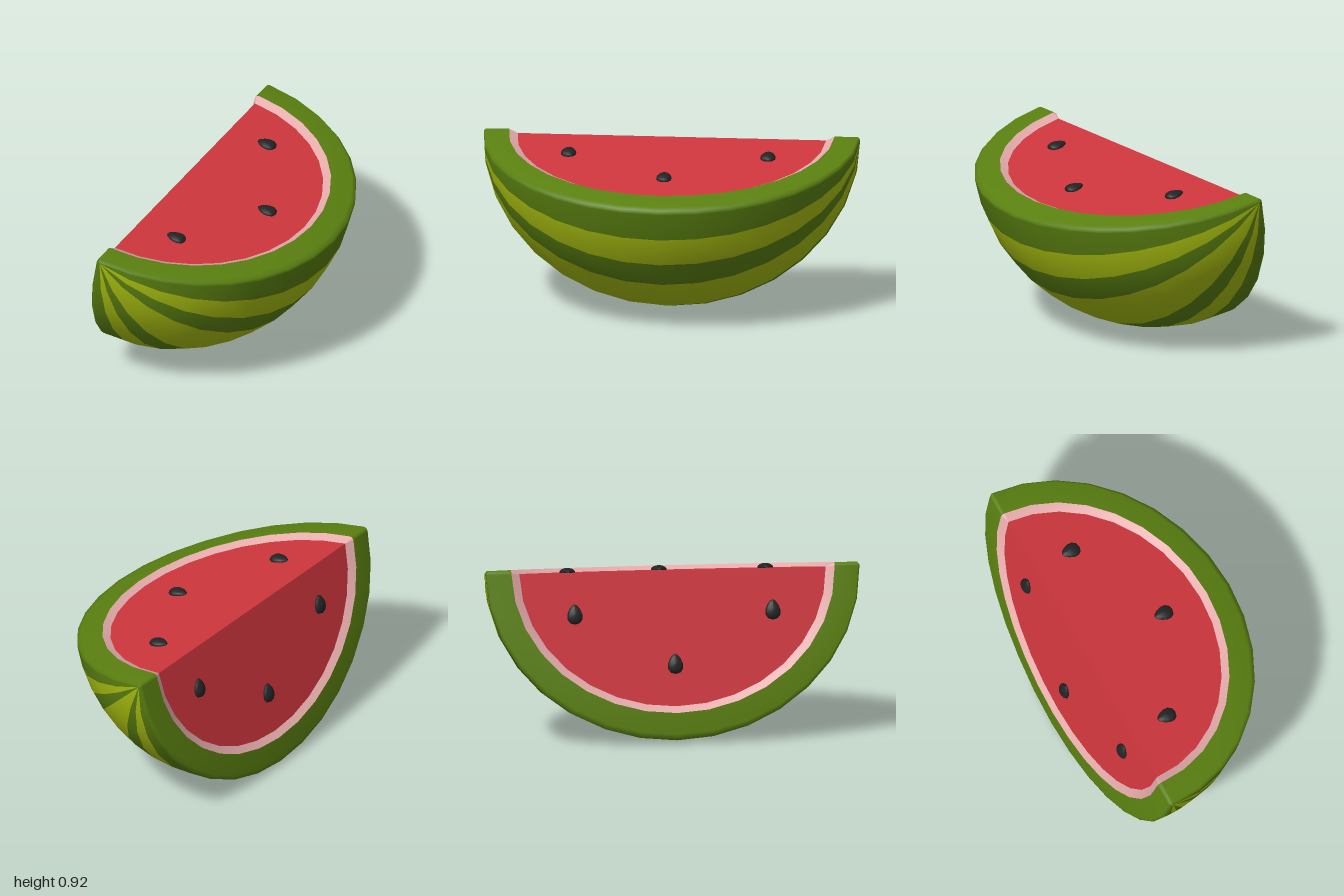
import * as THREE from 'three';

const CX = -0.345, CY = 0.902;            // long axis of the fruit (runs along z)
const R = 0.9, L = 1.0;                   // fruit radius and half length
const rad = THREE.MathUtils.degToRad;
const A0 = rad(-12.2), A1 = rad(80.2);    // wedge limits, measured from straight down
const TRIM = rad(1.3);                    // skin stops short where the rim rounds over
const STEPS = 16;

const mat = (name, color) => {
  const m = new THREE.MeshStandardMaterial({ color });
  m.name = name;
  return m;
};

// Indexed grid; fn(i, j) returns [x, y, z]; groupOf(i) picks a material per column
function grid(nu, nv, fn, groupOf) {
  const pos = [], idx = [];
  const g = new THREE.BufferGeometry();
  for (let i = 0; i <= nu; i++) for (let j = 0; j <= nv; j++) pos.push(...fn(i, j));
  for (let i = 0; i < nu; i++) {
    const start = idx.length;
    for (let j = 0; j < nv; j++) {
      const a = i * (nv + 1) + j, b = a + nv + 1;
      idx.push(a, b, b + 1, a, b + 1, a + 1);
    }
    if (groupOf) g.addGroup(start, idx.length - start, groupOf(i));
  }
  g.setAttribute('position', new THREE.Float32BufferAttribute(pos, 3));
  g.setIndex(idx);
  g.computeVertexNormals();
  return g;
}

// Cut faces: side 1 is the upper one, side -1 the other
const SIDES = [
  { side: 1, theta: A1 },
  { side: -1, theta: A0 + Math.PI },
];

// Point beside a cut face: c, s locate it on the half ellipse (a, b), h is its height
function cutPoint({ side, theta, c, s }, a, b, h) {
  const nx = Math.cos(theta), ny = Math.sin(theta);
  return [CX + side * ny * a * c + nx * h, CY - side * nx * a * c + ny * h, b * s];
}

// Columns along one cut face, running counterclockwise seen from outside
function faceColumns({ side, theta }) {
  return Array.from({ length: STEPS + 1 }, (_, i) => {
    const t = side * (Math.PI / 2 - (Math.PI * i) / STEPS);
    return { side, theta, c: Math.max(0, Math.cos(t)), s: Math.sin(t) };
  });
}

// Closed loop around both cut faces, with a rounded joint at each tip
function loopColumns() {
  const out = [];
  SIDES.forEach((f, k) => {
    out.push(...faceColumns(f));
    const next = SIDES[1 - k].theta;
    for (let i = 1; i < 5; i++) {
      out.push({ side: 1, theta: f.theta + ((next - f.theta) * i) / 5, c: 0, s: k ? 1 : -1 });
    }
  });
  out.push(out[0]);
  return out;
}

export function createModel() {
  const rindGreen = mat('rindGreen', 0x5a8010);
  const stripeLime = mat('stripeLime', 0xa9bf10);
  const pithPink = mat('pithPink', 0xe6abab);
  const fleshRed = mat('fleshRed', 0xcf363d);
  const seedBlack = mat('seedBlack', 0x222324);

  const model = new THREE.Group();
  model.name = 'melonWedge';
  const add = (name, geo, material, parent = model) => {
    const m = new THREE.Mesh(geo, material);
    m.name = name;
    parent.add(m);
    return m;
  };

  // Striped outer skin
  const stripes = [0, 1, 0, 1, 1, 0, 1, 0];
  const skin = grid(8, STEPS, (i, j) => {
    const a = THREE.MathUtils.clamp(A0 + ((A1 - A0) * i) / 8, A0 + TRIM, A1 - TRIM);
    const t = -Math.PI / 2 + (Math.PI * j) / STEPS;
    const r = R * Math.max(0, Math.cos(t));
    return [CX + r * Math.sin(a), CY - r * Math.cos(a), L * Math.sin(t)];
  }, (i) => stripes[i]);
  add('skin', skin, [rindGreen, stripeLime]);

  // Raised rounded rim around the cut faces
  const cols = loopColumns();
  const rimRings = [
    (k) => [R * Math.cos(TRIM), L, -R * Math.sin(TRIM) * k.c],
    (k) => [0.898, L, 0.008 * (1 - k.c)],
    (k) => [0.87, 0.99, 0.009 + 0.012 * k.s * k.s],
    () => [0.757, 0.865, 0.022],
  ];
  add('rim', grid(cols.length - 1, 3, (i, j) => cutPoint(cols[i], ...rimRings[j](cols[i]))), rindGreen);

  // Pale bevel stepping down to the flesh
  const bevel = [[0.757, 0.865, 0.022], [0.72, 0.82, 0]];
  add('pith', grid(cols.length - 1, 1, (i, j) => cutPoint(cols[i], ...bevel[j])), pithPink);

  // Teardrop seed, narrow end towards the wedge tip
  const seedGeo = new THREE.SphereGeometry(1, 12, 8);
  const p = seedGeo.attributes.position;
  for (let i = 0; i < p.count; i++) {
    const x = p.getX(i), w = 1 + 0.3 * x;
    p.setXYZ(i, x * 0.054, p.getY(i) * 0.021 * w, p.getZ(i) * 0.04 * w);
  }
  seedGeo.computeVertexNormals();

  // Flesh faces with three seeds each
  SIDES.forEach((f, k) => {
    const label = k ? 'left' : 'upper';
    const face = faceColumns(f);
    add(label + 'Flesh', grid(STEPS, 1, (i, j) => cutPoint(face[i], 0.72 * (1 - j), 0.82 * (1 - j), 0)), fleshRed);

    const seeds = new THREE.Group();
    seeds.name = label + 'Seeds';
    model.add(seeds);
    const n = new THREE.Vector3(Math.cos(f.theta), Math.sin(f.theta), 0);
    const d = new THREE.Vector3(n.y, -n.x, 0).multiplyScalar(f.side);
    const basis = new THREE.Matrix4().makeBasis(d, n, d.clone().cross(n));
    for (const [u, z] of [[0.495, 0], [0.22, 0.53], [0.22, -0.53]]) {
      const seed = add('seed', seedGeo, seedBlack, seeds);
      seed.quaternion.setFromRotationMatrix(basis);
      seed.position.set(CX, CY, z).addScaledVector(d, u).addScaledVector(n, 0.004);
    }
  });

  return model;
}
